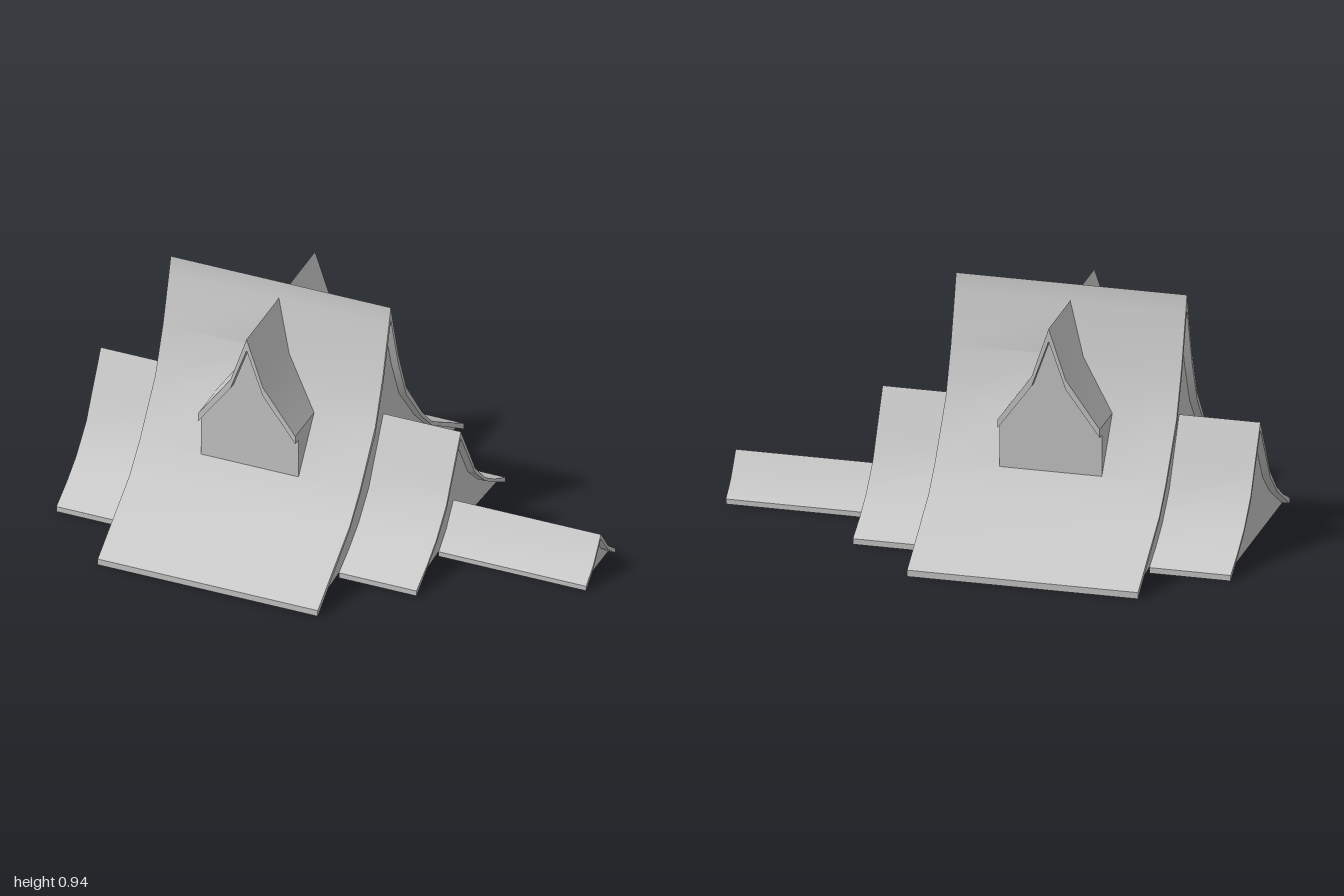
import * as THREE from 'three';
import { mergeGeometries, toCreasedNormals } from 'three/addons/utils/BufferGeometryUtils.js';

const material = new THREE.MeshStandardMaterial({ color: 0xcccccc, side: THREE.DoubleSide });

// Half profiles from ridge to eave: [distance from ridge line, top height, vertical thickness]
const MAIN = [[0, 0.945, 0.055], [0.018, 0.88, 0.052], [0.073, 0.69, 0.043], [0.145, 0.508, 0.033],
  [0.29, 0.313, 0.022], [0.385, 0.213, 0.016], [0.683, 0.025, 0.025]];
const WING = [[0, 0.472, 0.03], [0.08, 0.33, 0.026], [0.135, 0.23, 0.023], [0.23, 0.132, 0.015],
  [0.318, 0.073, 0.014], [0.415, 0.022, 0.022]];
const ANNEX = [[0, 0.165, 0.02], [0.07, 0.073, 0.018], [0.138, 0.02, 0.02]];
const DORMER = [[0, 0.885, 0.05], [0.065, 0.69, 0.038], [0.195, 0.508, 0.033]];

const CENTRE = -0.28;      // middle of the main roof along x
const DORMER_WALL = 0.29;
const DORMER_EAVE = 0.32;
const INSET = 0.03;        // gables sit back under the roof edge

const top = (p) => p.map(([u, y]) => [u, y]);
const under = (p) => p.map(([u, y, t]) => [u, y - t]);
const bothSides = (half) => [...half.slice(1).reverse().map(([u, y]) => [-u, y]), ...half];
const shapeOf = (pts) => new THREE.Shape(pts.map(([u, y]) => new THREE.Vector2(u, y)));

// Extrudes an outline by one unit, then moves every vertex by a rule (u, y, w) -> [x, y, z]
function loft(outline, rule) {
  const g = new THREE.ExtrudeGeometry(shapeOf(outline), { depth: 1, bevelEnabled: false });
  const p = g.attributes.position;
  for (let i = 0; i < p.count; i++) p.setXYZ(i, ...rule(p.getX(i), p.getY(i), p.getZ(i)));
  return g;
}

function mesh(name, geometry) {
  const m = new THREE.Mesh(geometry, material);
  m.name = name;
  return m;
}

const smooth = (g) => toCreasedNormals(g, 0.6);

// Straight curved roof running along x
function roof(name, profile, x0, x1) {
  const outline = [...bothSides(top(profile)), ...bothSides(under(profile)).reverse()];
  return mesh(name, smooth(loft(outline, (u, y, w) => [x0 + w * (x1 - x0), y, -u])));
}

// Gable wall, with an opening where a lower roof joins
function gable(name, profile, x, opening) {
  const pts = bothSides(under(profile));
  if (opening) pts.push(...bothSides(top(opening)).reverse());
  const g = new THREE.ShapeGeometry(shapeOf(pts)).rotateY(Math.PI / 2).translate(x, 0, 0);
  return mesh(name, g);
}

// Half width of the opening below a dormer, at a distance from the ridge
function openingAt(z) {
  const steps = [[0, 0], [0.018, 0], [0.073, 0.065], [0.145, 0.195], [DORMER_WALL, 0.195]];
  for (let i = 1; i < steps.length; i++) {
    const [a, wa] = steps[i - 1], [b, wb] = steps[i];
    if (z <= b) return wa + (wb - wa) * (z - a) / (b - a);
  }
  return 0.195;
}

// Main roof: each slope is two upper pieces around the dormer opening and one lower strip
function mainRoof() {
  const ring = (p) => [...top(p), ...under(p).reverse()];
  const upper = ring(MAIN.slice(0, 5)), lower = ring(MAIN.slice(4));
  const half = 0.44;
  const pieces = [];
  for (const turn of [0, Math.PI]) {
    pieces.push(
      loft(upper, (u, y, w) => [-half + w * (half - openingAt(u)), y, -u]).rotateY(turn),
      loft(upper, (u, y, w) => [openingAt(u) + w * (half - openingAt(u)), y, -u]).rotateY(turn),
      loft(lower, (u, y, w) => [-half + w * 2 * half, y, -u]).rotateY(turn));
  }
  return mesh('mainRoof', smooth(mergeGeometries(pieces).translate(CENTRE, 0, 0)));
}

// Dormer facing +z: peaked roof that meets the slope, front wall and cheeks
function dormer() {
  const group = new THREE.Group();
  const meets = (u) => {
    const a = Math.abs(u);
    return a < 0.01 ? 0.018 : a < 0.1 ? 0.073 : 0.145;
  };
  const outline = [...bothSides(top(DORMER)), ...bothSides(under(DORMER)).reverse()];
  group.add(mesh('dormerRoof', smooth(loft(outline,
    (u, y, w) => [u, y, meets(u) + w * (DORMER_EAVE - meets(u))]))));

  const face = [...bothSides(under(DORMER)), [0.195, 0.31], [-0.195, 0.31]];
  group.add(mesh('dormerWall', new THREE.ShapeGeometry(shapeOf(face)).translate(0, 0, DORMER_WALL)));

  const cheek = shapeOf([[-DORMER_WALL, 0.31], [-DORMER_WALL, 0.475], [-0.145, 0.475], [-0.145, 0.508]]);
  for (const side of [-1, 1]) {
    const g = new THREE.ShapeGeometry(cheek).rotateY(Math.PI / 2).translate(side * 0.195, 0, 0);
    group.add(mesh('dormerCheek', g));
  }
  return group;
}

export function createModel() {
  const model = new THREE.Group();
  model.name = 'tieredRoof';

  // Central roof and its gables
  model.add(mainRoof());
  const mainEnds = [-0.72 + INSET, 0.16 - INSET];
  for (const x of mainEnds) model.add(gable('mainGable', MAIN, x, WING));

  // Lower wings at both ends
  model.add(roof('rightWingRoof', WING, -1, mainEnds[0]));
  model.add(gable('rightWingGable', WING, -1 + INSET));
  model.add(roof('leftWingRoof', WING, mainEnds[1], 0.44));
  model.add(gable('leftWingGable', WING, 0.44 - INSET, ANNEX));

  // Smallest roof at the left end
  model.add(roof('annexRoof', ANNEX, 0.44 - INSET, 1));
  model.add(gable('annexGable', ANNEX, 1 - INSET));

  // Front and back dormers
  [['frontDormer', 0], ['backDormer', Math.PI]].forEach(([name, turn]) => {
    const d = dormer();
    d.name = name;
    d.position.x = CENTRE;
    d.rotation.y = turn;
    model.add(d);
  });
  return model;
}
